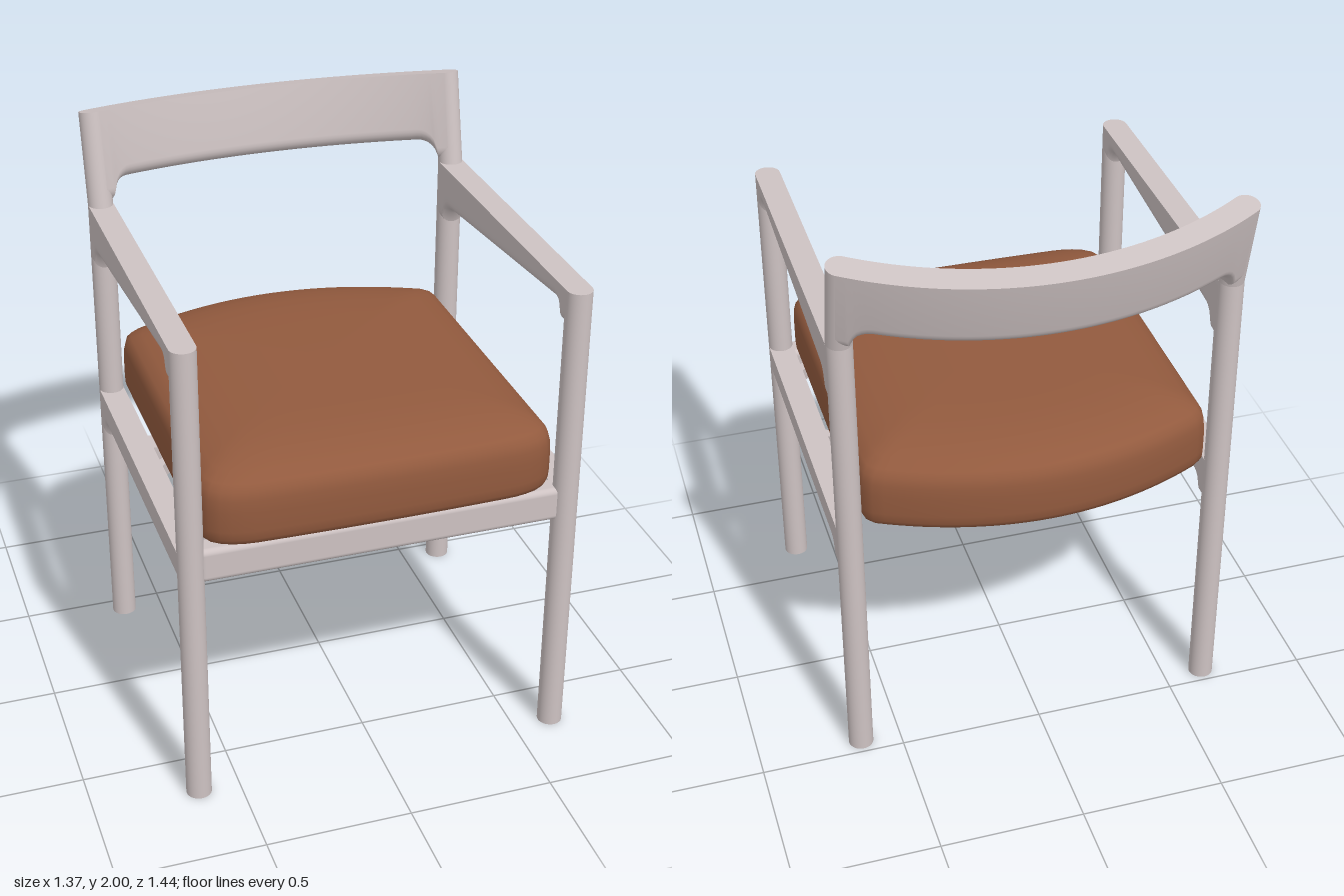
import * as THREE from 'three';
import { toCreasedNormals } from 'three/addons/utils/BufferGeometryUtils.js';
import { RoundedBoxGeometry } from 'three/addons/geometries/RoundedBoxGeometry.js';

const R = 0.043;                       // radius of legs and half width of beams
const LEG_X = 0.64, FRONT_Z = 0.672, BACK_Z = -0.443, ARM_Y = 1.68;

// Builds smooth-with-creases surface from closed cross-section loops
function loft(rings, crease = 0.7) {
  const n = rings[0].length, index = [];
  for (let i = 0; i < rings.length - 1; i++) {
    for (let j = 0; j < n; j++) {
      const k = (j + 1) % n;
      const a = i * n + j, b = i * n + k, c = a + n, d = b + n;
      index.push(a, b, d, a, d, c);
    }
  }
  const geo = new THREE.BufferGeometry();
  geo.setAttribute('position', new THREE.Float32BufferAttribute(rings.flat(2), 3));
  geo.setIndex(index);
  return toCreasedNormals(geo, crease);
}

// Beam with flat top and round underside; path(t) gives {x, z, dx, dz}
function beam(path, top, bottom, steps = 48) {
  const rings = [];
  for (let i = 0; i <= steps; i++) {
    const t = (1 - Math.cos(Math.PI * i / steps)) / 2;
    const p = path(t), b = bottom(t), ring = [];
    const add = (a, y) => ring.push([p.x + a * p.dz, y, p.z - a * p.dx]);
    add(R, top);
    add(-R, top);
    for (let j = 0; j <= 12; j++) {
      const ang = Math.PI * (1 + j / 12);
      add(R * Math.cos(ang), b + R + R * Math.sin(ang));
    }
    rings.push(ring);
  }
  return loft(rings);
}

// Downward sweep of an underside at distance d from a leg's surface
function fillet(d, r) {
  if (d >= r) return 0;
  const e = r - Math.max(d, 0);
  return r - Math.sqrt(r * r - e * e);
}

export function createModel() {
  const chair = new THREE.Group();
  chair.name = 'armchair';
  const wood = new THREE.MeshStandardMaterial({ color: 0xcdc2c2 });
  const leather = new THREE.MeshStandardMaterial({ color: 0x925a3e });
  const add = (name, geo, parent = chair, mat = wood) => {
    const mesh = new THREE.Mesh(geo, mat);
    mesh.name = name;
    parent.add(mesh);
    return mesh;
  };

  // Straight path from back leg to front leg
  const length = FRONT_Z - BACK_Z;
  const sidePath = x => t => ({ x, z: BACK_Z + length * t, dx: 0, dz: 1 });

  for (const s of [-1, 1]) {
    const side = s > 0 ? 'left' : 'right';
    // Legs
    for (const [name, z] of [['FrontLeg', FRONT_Z], ['BackLeg', BACK_Z]]) {
      add(side + name, new THREE.CylinderGeometry(R, R, ARM_Y, 32)).position.set(s * LEG_X, ARM_Y / 2, z);
    }
    // Tapered armrest, deeper at the back
    add(side + 'Armrest', beam(sidePath(s * LEG_X), ARM_Y, t =>
      1.515 + 0.1 * t - fillet(length * t - R, 0.06) - fillet(length * (1 - t) - R, 0.06)));
    // Side seat rail
    add(side + 'SeatRail', beam(sidePath(s * LEG_X), 0.965, t =>
      0.845 - fillet(length * t - R, 0.055)));
    // Corner braces under the seat
    for (const [name, z, turn] of [['FrontBrace', 0.57, 1], ['MiddleBrace', 0.06, -1]]) {
      const brace = add(side + name, new THREE.BoxGeometry(0.17, 0.05, 0.03));
      brace.position.set(s * 0.55, 0.925, z);
      brace.rotation.y = s * turn * Math.PI / 4;
    }
  }

  // Front seat rail
  add('frontSeatRail', new RoundedBoxGeometry(1.23, 0.12, 0.085, 4, 0.02)).position.set(0, 0.905, 0.652);

  // Crossbar below the cushion
  const span = 2 * LEG_X;
  add('seatCrossbar', beam(t => ({ x: -LEG_X + span * t, z: -0.03, dx: 1, dz: 0 }), 0.96, t =>
    0.845 + 0.03 * fillet(Math.min(t, 1 - t) * span - R, 0.05)));

  // Tilted backrest: a curved band on two short posts
  const back = new THREE.Group();
  back.name = 'backrest';
  back.position.set(0, ARM_Y, BACK_Z);
  back.rotation.x = -THREE.MathUtils.degToRad(13);
  chair.add(back);
  const TOP = 0.318, sag = 0.165;
  const arcR = (LEG_X * LEG_X + sag * sag) / (2 * sag);
  const half = Math.asin(LEG_X / arcR);
  const arc = t => {
    const a = half * (2 * t - 1);
    return { x: arcR * Math.sin(a), z: arcR - sag - arcR * Math.cos(a), dx: Math.cos(a), dz: Math.sin(a) };
  };
  add('backrestBand', beam(arc, TOP, t =>
    0.08 - fillet(Math.min(t, 1 - t) * 2 * half * arcR - R, 0.07), 64), back);
  for (const s of [-1, 1]) {
    add(s > 0 ? 'leftBackPost' : 'rightBackPost', new THREE.CylinderGeometry(R, R, TOP + 0.01, 32), back)
      .position.set(s * LEG_X, (TOP - 0.01) / 2, 0);
  }

  // Cushion outline, seen from above (shape y is z)
  const plan = new THREE.Shape();
  plan.moveTo(0.595, -0.40);
  plan.lineTo(0.595, 0.61);
  plan.quadraticCurveTo(0.595, 0.70, 0.44, 0.713);
  plan.quadraticCurveTo(0, 0.726, -0.44, 0.713);
  plan.quadraticCurveTo(-0.595, 0.70, -0.595, 0.61);
  plan.lineTo(-0.595, -0.40);
  plan.quadraticCurveTo(-0.595, -0.452, -0.56, -0.47);
  plan.quadraticCurveTo(0, -0.75, 0.56, -0.47);
  plan.quadraticCurveTo(0.595, -0.452, 0.595, -0.40);
  const outline = plan.getSpacedPoints(120).slice(0, -1).reverse();
  // Crowned profile: scale of the outline and height
  const profile = [[0, 0.965], [0.96, 0.965], [0.985, 0.972], [0.997, 0.99], [1, 1.02], [1, 1.09], [0.996, 1.13],
    [0.985, 1.16], [0.96, 1.18], [0.9, 1.2], [0.8, 1.219], [0.68, 1.232], [0.5, 1.238], [0, 1.24]];
  const midZ = 0.055;
  add('seatCushion', loft(profile.map(([k, y]) =>
    outline.map(p => [p.x * k, y, midZ + (p.y - midZ) * k])), 1.2), chair, leather);

  return chair;
}
